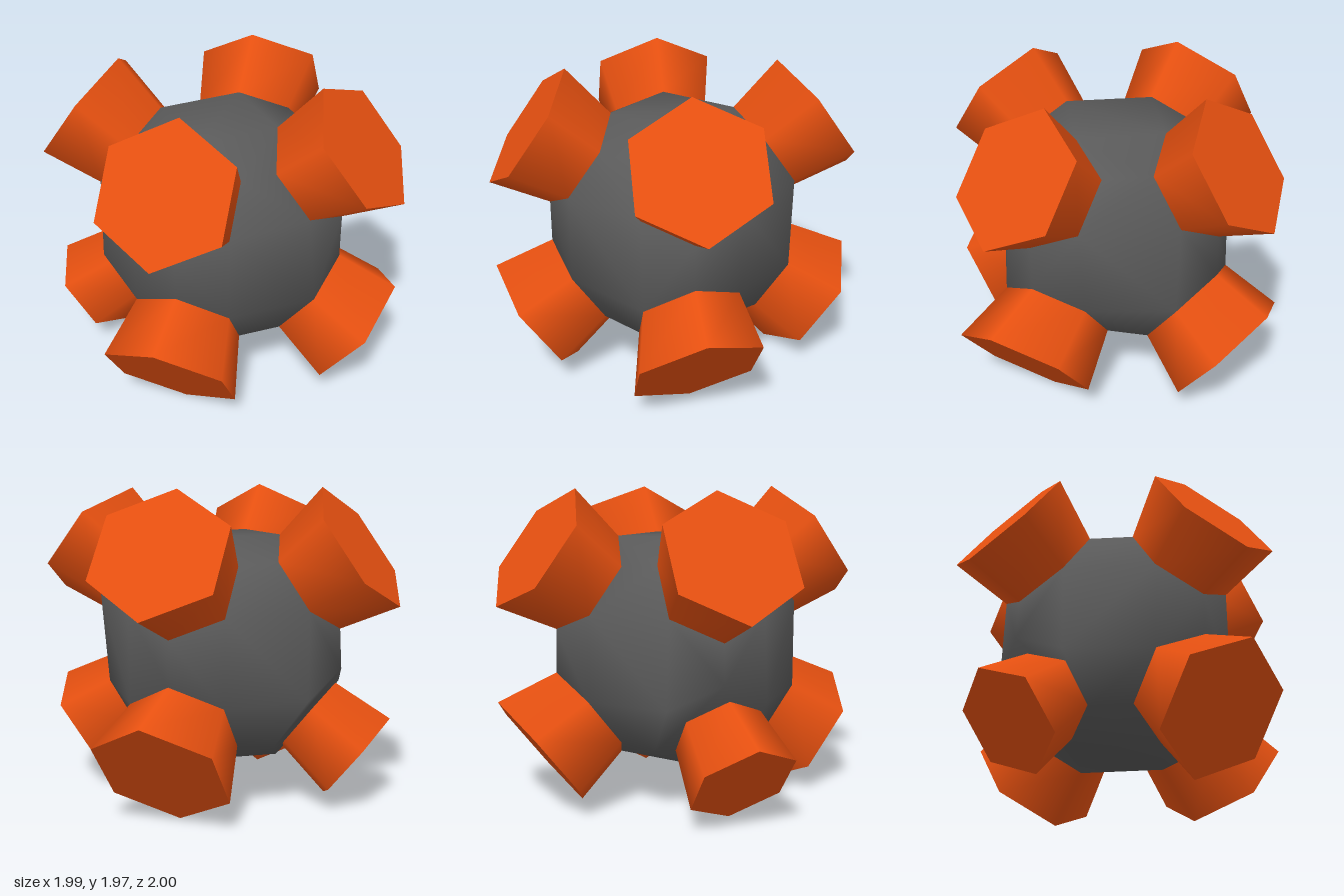
import * as THREE from 'three';
import { mergeVertices } from 'three/addons/utils/BufferGeometryUtils.js';
import { ConvexGeometry } from 'three/addons/geometries/ConvexGeometry.js';

const CENTRE_Y = 0.985;
const CAP = 0.635;      // cap centre offset along each axis
const BASE = 0.412;     // base centre offset along each axis

// Pegs that lean off the cube diagonals, and one that is smaller and shifted.
const SPECIAL = {
  '1,1,1': { axis: [0.47, 0.61, 0.61] },
  '1,1,-1': { axis: [0.49, 0.58, -0.65] },
  '1,-1,1': { axis: [0.63, -0.62, 0.46] },
  '1,-1,-1': { axis: [0.52, -0.6, -0.6] },
  '-1,-1,-1': {
    axis: [-0.6, -0.62, -0.51], cap: [-0.68, -0.685, -0.56], base: [-0.44, -0.44, -0.365],
    rOut: 0.335, rIn: 0.28, seat: 0.365,
  },
};

// Flared hexagonal prism from base to cap, one corner turned towards the x axis.
function pegGeometry(sign, axisDir, base, cap, rIn, rOut) {
  const axis = new THREE.Vector3(...axisDir).normalize();
  const corner = new THREE.Vector3(-2 * sign[0], sign[1], sign[2]);
  corner.addScaledVector(axis, -corner.dot(axis)).normalize();
  const side = new THREE.Vector3().crossVectors(axis, corner);
  const from = new THREE.Vector3(...base);
  const along = new THREE.Vector3(...cap).sub(from);
  const m = new THREE.Matrix4().makeBasis(side, along, corner).setPosition(from);
  return new THREE.CylinderGeometry(rOut, rIn, 1, 6).translate(0, 0.5, 0).applyMatrix4(m);
}

export function createModel() {
  const model = new THREE.Group();
  model.name = 'peggedBall';
  model.position.y = CENTRE_Y;
  const orange = new THREE.MeshStandardMaterial({ color: 0xe65010 });
  const grey = new THREE.MeshStandardMaterial({ color: 0x5a5a5a });
  const seatPoints = [];

  // Eight pegs, one per cube corner
  for (const sx of [-1, 1]) for (const sy of [-1, 1]) for (const sz of [-1, 1]) {
    const sign = [sx, sy, sz];
    const seatCentre = sign.map((s) => s * BASE);
    const capCentre = sign.map((s) => s * CAP);
    const {
      axis = sign, cap = capCentre, base = seatCentre, rOut = 0.426, rIn = 0.343, seat,
    } = SPECIAL[sign.join()] ?? {};
    const geo = pegGeometry(sign, axis, base, cap, rIn, rOut);
    const peg = new THREE.Mesh(geo, orange);
    peg.name = `${sy > 0 ? 'upper' : 'lower'}${sz > 0 ? 'Front' : 'Back'}${sx > 0 ? 'Left' : 'Right'}Peg`;
    model.add(peg);

    // Hexagonal seat of the body under the peg (the lower ring of the side wall)
    const ring = seat ? pegGeometry(sign, sign, seatCentre, capCentre, seat, seat) : geo;
    for (let i = 7; i < 13; i++) {
      seatPoints.push(new THREE.Vector3().fromBufferAttribute(ring.attributes.position, i));
    }
  }

  // Body: smooth-shaded hull joining all seats
  let hull = new ConvexGeometry(seatPoints);
  hull.deleteAttribute('normal');
  hull = mergeVertices(hull, 1e-4);
  hull.computeVertexNormals();
  const body = new THREE.Mesh(hull, grey);
  body.name = 'body';
  model.add(body);
  return model;
}
